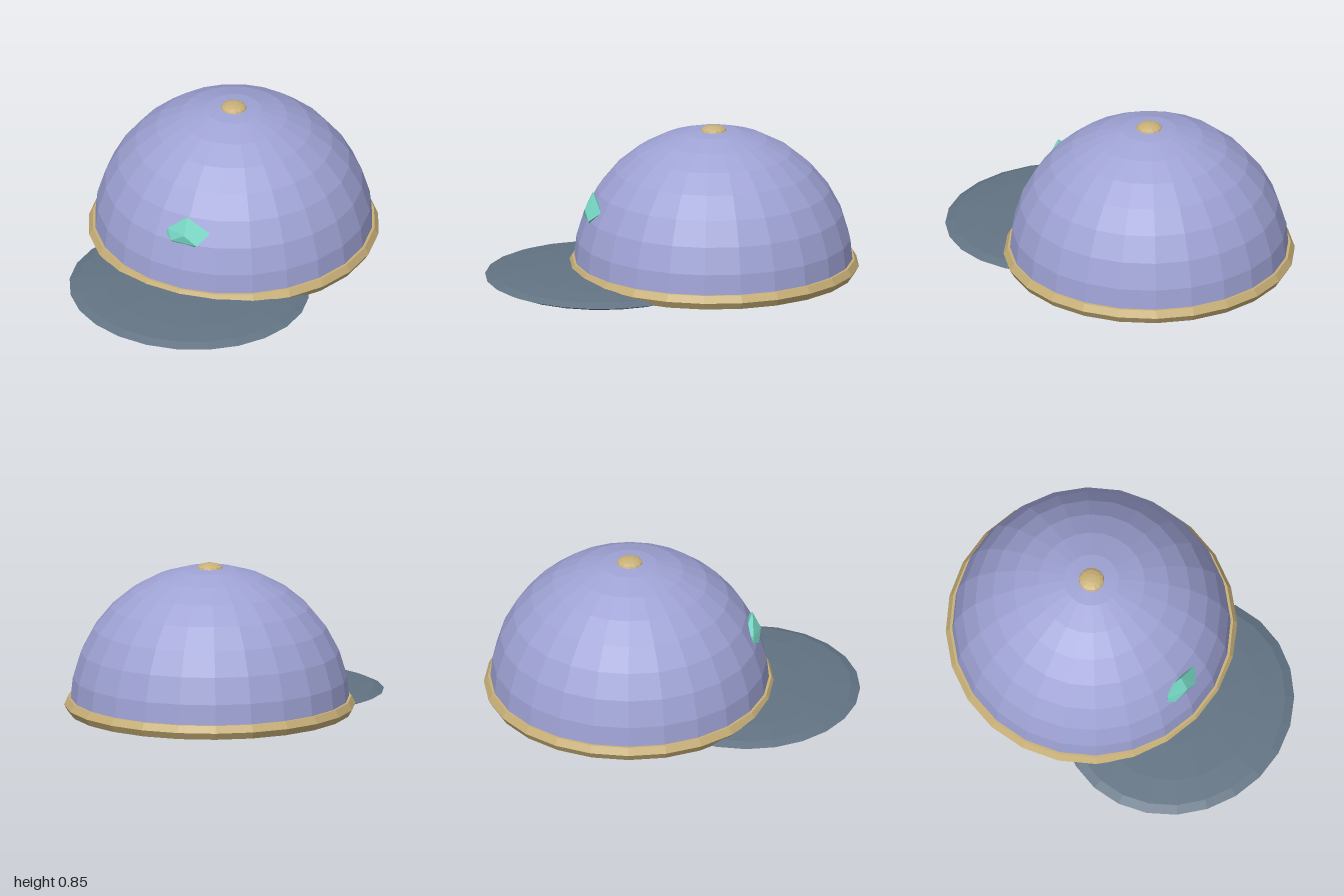
import * as THREE from 'three';
import { ConvexGeometry } from 'three/addons/geometries/ConvexGeometry.js';

const material = (name, color, side = THREE.FrontSide) => {
  const m = new THREE.MeshStandardMaterial({ color, flatShading: true, side });
  m.name = name;
  return m;
};

export function createModel() {
  const cap = new THREE.Group();
  cap.name = 'cap';

  const lavender = material('lavender', 0x9fa3d5, THREE.DoubleSide);
  const gold = material('gold', 0xc8b078);
  const slate = material('slate', 0x627383);
  const teal = material('teal', 0x76d7c4);

  const crownZ = -0.225;
  const bandY = 0.081;

  const add = (name, geometry, mat, x, y, z) => {
    const mesh = new THREE.Mesh(geometry, mat);
    mesh.name = name;
    mesh.position.set(x, y, z);
    cap.add(mesh);
    return mesh;
  };

  // Open hemispherical crown
  add('crown', new THREE.SphereGeometry(0.744, 24, 8, 0, Math.PI * 2, 0, Math.PI / 2),
    lavender, 0, bandY, crownZ);

  // Six-sided band around the opening
  add('band', new THREE.TorusGeometry(0.732, 0.043, 6, 24).rotateX(Math.PI / 2),
    gold, 0, bandY, crownZ);

  // Flattened brim reaching under the crown
  add('brim', new THREE.SphereGeometry(1, 24, 8).scale(0.645, 0.05, 0.6),
    slate, 0, 0.05, 0.4);

  // Button on top
  add('button', new THREE.SphereGeometry(1, 12, 8).scale(0.07, 0.03, 0.07),
    gold, 0, 0.815, crownZ);

  // Faceted gem set through the front of the crown
  const gemPoints = [
    [0, 0.515, 0.428], [0.125, 0.43, 0.41], [-0.11, 0.425, 0.435],
    [-0.115, 0.39, 0.435], [0, 0.42, 0.473], [-0.08, 0.37, 0.462],
    [0.07, 0.37, 0.468], [0.06, 0.42, 0.385], [-0.07, 0.42, 0.385],
    [0, 0.31, 0.425],
  ].map((p) => new THREE.Vector3(...p));
  add('gem', new ConvexGeometry(gemPoints), teal, 0, 0, 0);

  return cap;
}
